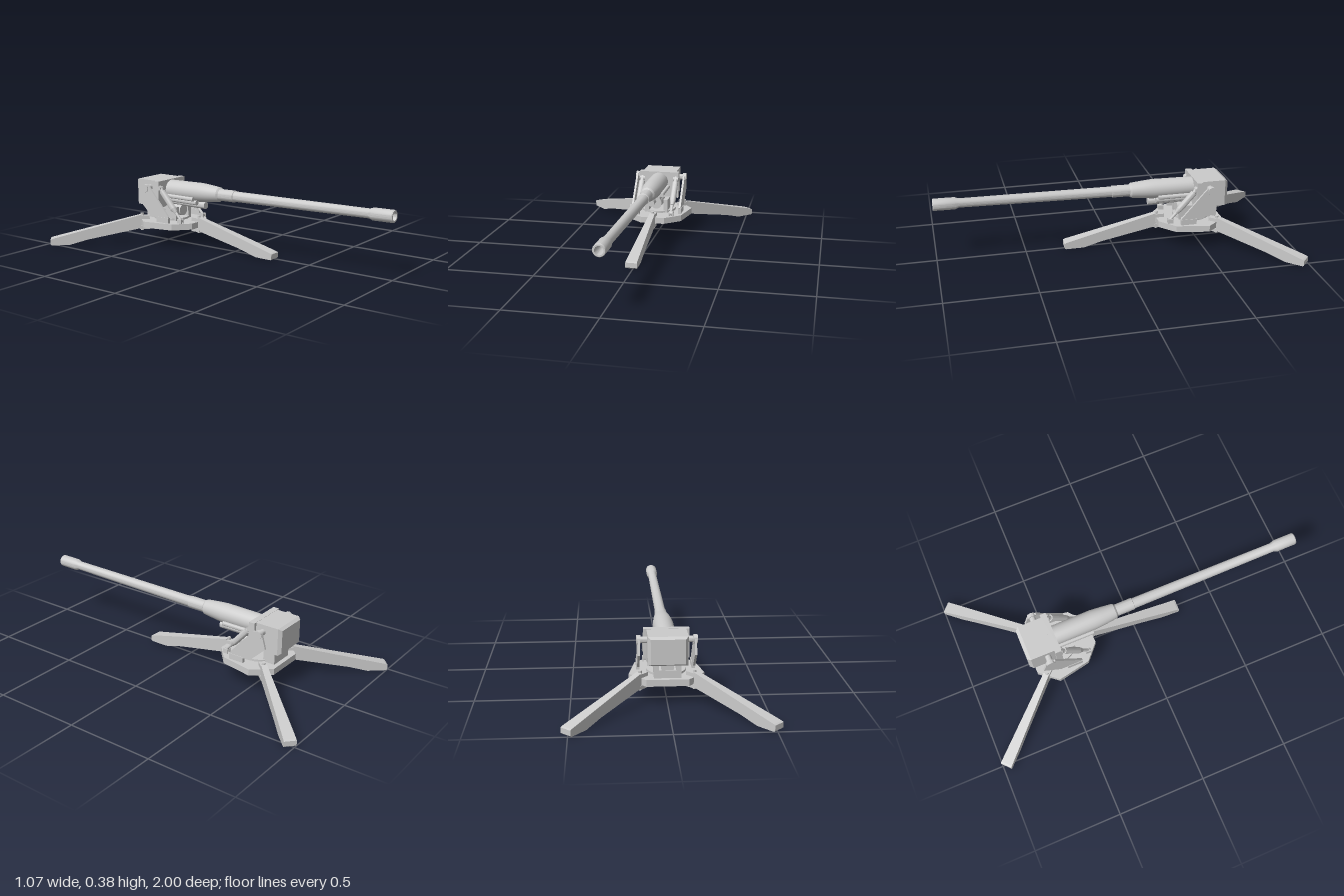
import * as THREE from 'three';
import { toCreasedNormals } from 'three/addons/utils/BufferGeometryUtils.js';

const material = new THREE.MeshStandardMaterial({ color: 0xcccccc });
const flat = new THREE.MeshStandardMaterial({ color: 0xcccccc, flatShading: true });

function add(parent, name, geometry, mat = flat) {
  const mesh = new THREE.Mesh(geometry, mat);
  mesh.name = name;
  parent.add(mesh);
  return mesh;
}

// Box given by its extents on each axis
function block(parent, name, [x0, x1], [y0, y1], [z0, z1]) {
  const g = new THREE.BoxGeometry(x1 - x0, y1 - y0, z1 - z0);
  g.translate((x0 + x1) / 2, (y0 + y1) / 2, (z0 + z1) / 2);
  return add(parent, name, g);
}

// Round rod between two points
function rod(parent, name, a, b, r0, r1 = r0, sides = 16) {
  const from = new THREE.Vector3(...a), to = new THREE.Vector3(...b);
  const g = toCreasedNormals(new THREE.CylinderGeometry(r1, r0, from.distanceTo(to), sides), 0.7);
  const mesh = add(parent, name, g, material);
  mesh.position.copy(from).add(to).multiplyScalar(0.5);
  mesh.quaternion.setFromUnitVectors(new THREE.Vector3(0, 1, 0), to.sub(from).normalize());
  return mesh;
}

const outline = (pts) => new THREE.Shape(pts.map(([x, y]) => new THREE.Vector2(x, y)));

// Side plate: outline in (z, y), thickness from x0 to x1
function sidePlate(parent, name, pts, x0, x1) {
  const g = new THREE.ExtrudeGeometry(outline(pts), { depth: x1 - x0, bevelEnabled: false });
  g.rotateY(-Math.PI / 2);
  g.translate(x1, 0, 0);
  return add(parent, name, g);
}

// Outrigger leg with hinge, running outward from (x, z) to a foot
function leg(parent, name, x, z, footX, footZ) {
  const group = new THREE.Group();
  group.name = name;
  group.position.set(x, 0, z);
  group.rotation.y = Math.atan2(footX - x, footZ - z);
  const profile = [[0, 0.09], [0.32, 0.03], [0.425, 0.002], [0.53, 0.002], [0.537, 0.008],
    [0.537, 0.036], [0.527, 0.041], [0, 0.171]];
  const g = new THREE.ExtrudeGeometry(outline(profile), { depth: 1, bevelEnabled: false });
  const p = g.attributes.position;
  for (let i = 0; i < p.count; i++) {
    p.setZ(i, (p.getZ(i) - 0.5) * (0.032 + 0.062 * p.getX(i)));
  }
  g.rotateY(-Math.PI / 2);
  add(group, 'legBeam', g);
  rod(group, 'hingePin', [0, 0.076, -0.006], [0, 0.18, -0.006], 0.01, 0.01, 10);
  for (const y of [0.083, 0.145]) block(group, 'hingeLug', [-0.017, 0.017], [y, y + 0.02], [-0.05, 0.008]);
  parent.add(group);
}

export function createModel() {
  const model = new THREE.Group();
  model.name = 'fieldGun';

  // Eight-sided base plate
  const half = [[0.07, -0.26], [0.16, -0.34], [0.197, -0.525], [0.11, -0.63]];
  const ring = [...half, ...half.map(([x, z]) => [-x, z]).reverse()];
  const base = new THREE.ExtrudeGeometry(outline(ring.map(([x, z]) => [x, -z])), { depth: 0.036, bevelEnabled: false });
  base.rotateX(-Math.PI / 2);
  base.translate(0, 0.108, 0);
  add(model, 'basePlate', base);

  // Three legs
  leg(model, 'frontLeg', 0, -0.257, -0.01, 0.28);
  leg(model, 'leftRearLeg', 0.145, -0.588, 0.51, -0.982);
  leg(model, 'rightRearLeg', -0.145, -0.588, -0.51, -0.982);

  // Pedestal under the breech housing
  rod(model, 'turntable', [0, 0.14, -0.47], [0, 0.156, -0.47], 0.105, 0.105, 24);
  block(model, 'pedestalRear', [-0.07, 0.07], [0.142, 0.185], [-0.605, -0.535]);
  for (const s of [-1, 1]) {
    block(model, 'pedestalRearCheek', [s * 0.057 - 0.013, s * 0.057 + 0.013], [0.16, 0.225], [-0.605, -0.535]);
    block(model, 'pedestalFrontCheek', [s * 0.057 - 0.013, s * 0.057 + 0.013], [0.142, 0.225], [-0.46, -0.38]);
  }
  rod(model, 'cradleDrum', [0, 0.2, -0.6], [0, 0.2, -0.38], 0.034);

  // Breech housing with tapered rear edges
  const housing = new THREE.BoxGeometry(0.206, 0.153, 0.15);
  housing.translate(0, 0.2995, -0.565);
  add(model, 'breechHousing', housing);
  const cap = new THREE.BoxGeometry(0.206, 0.153, 0.018);
  const cp = cap.attributes.position;
  for (let i = 0; i < cp.count; i++) {
    if (cp.getZ(i) < 0) cp.setXY(i, cp.getX(i) * 0.86, cp.getY(i) * 0.86);
  }
  cap.translate(0, 0.2995, -0.649);
  add(model, 'breechRear', cap);
  block(model, 'housingFrontPlate', [-0.12, 0.12], [0.218, 0.377], [-0.505, -0.47]);

  // Barrel: sleeve, stepped tube and hollow muzzle
  const barrelProfile = [[0, -0.5], [0.055, -0.5], [0.056, -0.24], [0.051, -0.18], [0.043, -0.11],
    [0.034, -0.1], [0.034, 0], [0.03, 0.002], [0.026, 0.86], [0.034, 0.88], [0.034, 0.995],
    [0.031, 1], [0.023, 1], [0.02, 0.9], [0, 0.9]];
  const tube = new THREE.LatheGeometry(barrelProfile.map(([r, y]) => new THREE.Vector2(r, y)), 24);
  tube.rotateX(Math.PI / 2);
  const barrel = add(model, 'barrel', toCreasedNormals(tube, 0.5), material);
  barrel.position.y = 0.324;
  barrel.rotation.x = -0.015;

  // Recoil cylinders below the barrel
  rod(model, 'recoilCylinder', [0, 0.246, -0.48], [0, 0.246, -0.21], 0.021);
  for (const s of [-1, 1]) {
    rod(model, 'recuperatorLower', [s * 0.034, 0.262, -0.48], [s * 0.034, 0.262, -0.25], 0.014);
    rod(model, 'recuperatorUpper', [s * 0.056, 0.285, -0.48], [s * 0.056, 0.285, -0.26], 0.012);
  }

  for (const s of [-1, 1]) {
    const side = new THREE.Group();
    side.name = s > 0 ? 'leftMount' : 'rightMount';
    model.add(side);

    // Trunnion and sloping side plate with its foot
    rod(side, 'trunnion', [s * 0.1, 0.334, -0.547], [s * 0.142, 0.334, -0.547], 0.017);
    rod(side, 'trunnionCap', [s * 0.136, 0.334, -0.547], [s * 0.157, 0.334, -0.547], 0.024);
    const x = s * 0.146;
    sidePlate(side, 'supportPlate',
      [[-0.37, 0.18], [-0.385, 0.172], [-0.5, 0.172], [-0.595, 0.262], [-0.572, 0.34], [-0.52, 0.35]],
      x - 0.006, x + 0.006);
    block(side, 'supportFoot', [x - 0.009, x + 0.009], [0.14, 0.176], [-0.46, -0.37]);

    // Sloping elevating ram
    const px = s * 0.104;
    const at = (t) => [px, 0.335 - 0.178 * t, -0.47 + 0.158 * t];
    rod(side, 'ramHead', at(-0.08), at(0.12), 0.012);
    rod(side, 'ramBody', at(0.1), at(0.62), 0.018);
    rod(side, 'ramTaper', at(0.62), at(0.74), 0.018, 0.011);
    rod(side, 'ramRod', at(0.74), at(1), 0.008);
    rod(side, 'ramUpperPin', [px - 0.016, 0.335, -0.47], [px + 0.016, 0.335, -0.47], 0.012);
    rod(side, 'ramLowerPin', [px - 0.013, 0.16, -0.315], [px + 0.013, 0.16, -0.315], 0.011);
    for (const d of [-0.01, 0.01]) {
      block(side, 'ramClevis', [px + d - 0.003, px + d + 0.003], [0.14, 0.17], [-0.335, -0.303]);
    }
  }
  return model;
}
